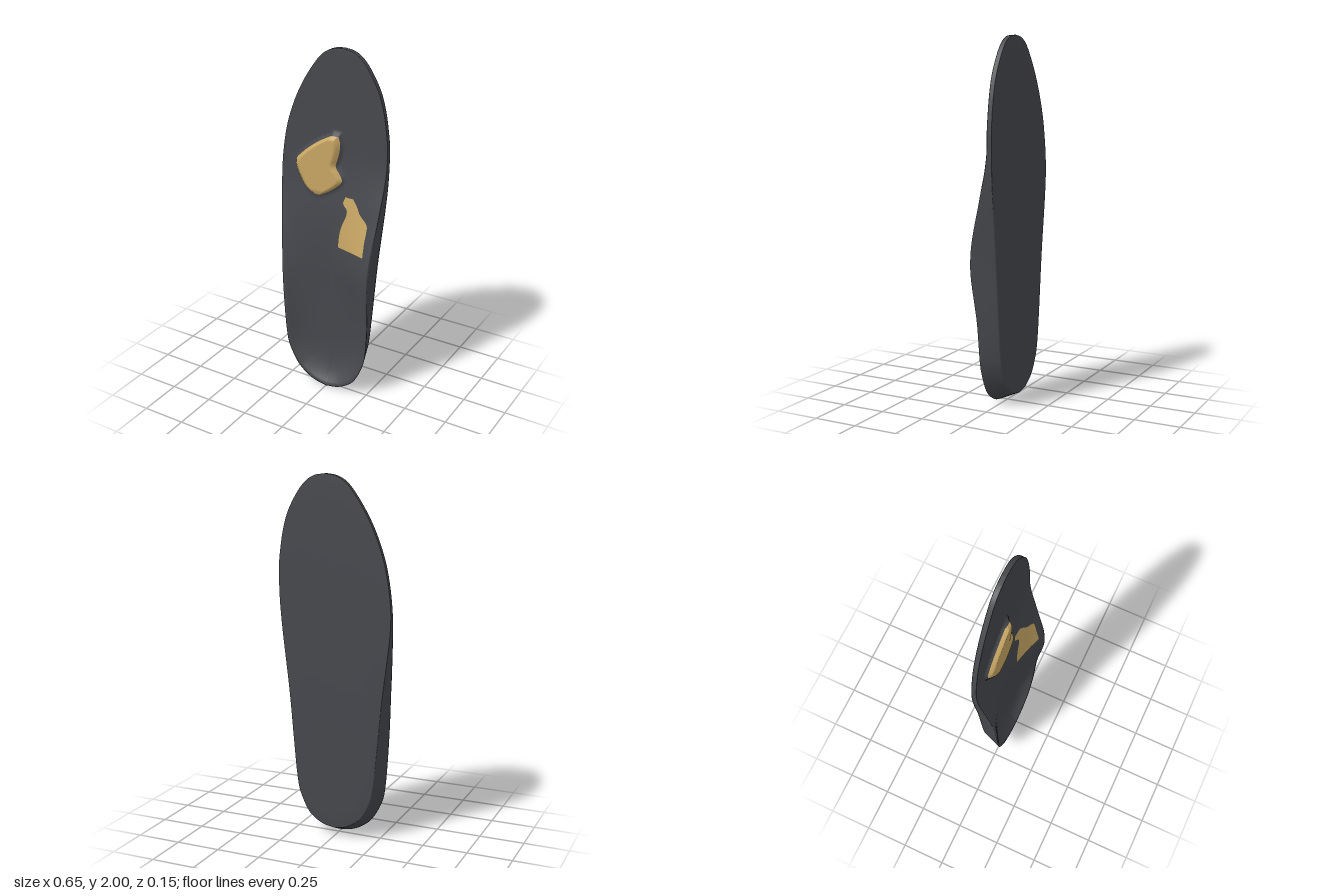
import * as THREE from 'three';
import { mergeVertices } from 'three/addons/utils/BufferGeometryUtils.js';

const BACK = -0.075, SPINE = [0.28, 1.7], ROWS = 140;

// smooth lookup through [y, value] pairs
function track(pairs, k = 1) {
  const f = new THREE.CubicInterpolant(
    new Float32Array(pairs.map(p => p[0])), new Float32Array(pairs.map(p => p[k])), 1);
  return y => f.evaluate(y)[0];
}

// outline rows: y, outer edge x, inner (arch side) edge x
const outlineRows = [
  [0, 0, 0], [0.015, -0.075, 0.075], [0.05, -0.14, 0.14], [0.1, -0.192, 0.19], [0.2, -0.245, 0.237],
  [0.3, -0.265, 0.258], [0.5, -0.28, 0.27], [0.8, -0.297, 0.285], [1.0, -0.313, 0.298],
  [1.2, -0.326, 0.312], [1.35, -0.32, 0.32], [1.5, -0.297, 0.322], [1.6, -0.27, 0.312],
  [1.7, -0.232, 0.295], [1.8, -0.182, 0.265], [1.9, -0.117, 0.21], [1.96, -0.065, 0.16],
  [1.99, -0.01, 0.11], [2, 0.05, 0.05]];
const edges = new THREE.CatmullRomCurve3(
  outlineRows.map(([y, l, r]) => new THREE.Vector3(l, y, r)), false, 'catmullrom', 0.5).getPoints(ROWS);
const edgeLeft = track(outlineRows, 2), edgeRight = track(outlineRows, 1);

// heights along the length: floor, both rims, and how sharply the floor curves up to them
const floor = track([[0, -0.03], [0.3, -0.03], [0.6, -0.02], [0.8, -0.01], [1.0, -0.01], [1.12, -0.018],
  [1.25, -0.034], [1.4, -0.046], [1.5, -0.047], [1.7, -0.047], [2, -0.047]]);
const archRim = track([[0, 0.034], [0.3, 0.036], [0.5, 0.045], [0.6, 0.057], [0.7, 0.07], [0.78, 0.075],
  [0.9, 0.065], [1.0, 0.044], [1.1, 0.018], [1.2, -0.006], [1.3, -0.03], [1.4, -0.045], [1.5, -0.047], [2, -0.047]]);
const outerRim = track([[0, 0.034], [0.3, 0.034], [0.5, 0.033], [0.7, 0.026], [0.9, 0.004], [1.05, -0.02],
  [1.2, -0.041], [1.3, -0.046], [1.5, -0.047], [2, -0.047]]);
const archPower = track([[0, 3.5], [0.3, 3.2], [0.55, 2], [0.8, 1.25], [1.1, 1.5], [2, 1.5]]);
const soleScale = track([[0, 0.82], [0.2, 0.83], [0.4, 0.87], [0.8, 0.93], [1.1, 0.98], [1.3, 1], [1.5, 1], [2, 1]]);

// coloured patches: y, right x, left x
const forefootRows = [[1.18, -0.1, -0.07], [1.2, -0.14, -0.03], [1.25, -0.185, 0.04], [1.285, -0.205, 0.066],
  [1.32, -0.22, 0.05], [1.36, -0.22, 0.025], [1.4, -0.185, 0.035], [1.44, -0.14, 0.045],
  [1.49, -0.07, 0.05], [1.53, 0.0, 0.04]];
const archRows = [[0.905, 0.06, 0.24], [1.0, 0.07, 0.242], [1.05, 0.085, 0.246], [1.085, 0.1, 0.242],
  [1.13, 0.105, 0.19], [1.16, 0.08, 0.172], [1.2, 0.09, 0.14]];
const padRight = track(forefootRows, 1), padLeft = track(forefootRows, 2);

// upper surface: s runs from 0 on the spine to 1 at the rim
function topHeight(x, y, s, inner, edgeY) {
  const base = floor(y), rim = inner ? archRim(edgeY) : outerRim(edgeY);
  const power = inner ? archPower(edgeY) : 3;
  let z = base + (rim - base) * Math.pow(Math.min(1, s / 0.94), power);
  // raised forefoot pad
  const inside = Math.min(x - padRight(y), padLeft(y) - x, y - 1.18, 1.535 - y);
  const raise = THREE.MathUtils.smoothstep(inside, -0.02, 0.03);
  return Math.max(z, THREE.MathUtils.lerp(z, -0.011, raise));
}

function gridGeometry(rows, closed) {
  const n = rows[0].length, index = [];
  for (let r = 0; r < rows.length - 1; r++) {
    for (let i = 0; i < (closed ? n : n - 1); i++) {
      const j = (i + 1) % n, a = r * n + i, b = a + n, c = (r + 1) * n + j, d = r * n + j;
      index.push(a, b, c, a, c, d);
    }
  }
  const geometry = new THREE.BufferGeometry();
  geometry.setAttribute('position', new THREE.Float32BufferAttribute(rows.flat(2), 3));
  geometry.setIndex(index);
  const welded = mergeVertices(geometry, 1e-5);
  welded.computeVertexNormals();
  return welded;
}

// body: rings grow from the spine to the rim, go down the wall and close under the sole
function bodyGeometry() {
  const loop = [
    ...edges.map(p => ({ x: p.z, y: p.y, inner: true })),
    ...edges.slice(1, -1).reverse().map(p => ({ x: p.x, y: p.y, inner: false }))];
  const spread = (e, s) => {
    const c = THREE.MathUtils.clamp(e.y, ...SPINE);
    return [e.x * s, c + (e.y - c) * s];
  };
  const rings = [];
  const steps = 36;
  for (let k = 0; k <= steps; k++) {
    const s = k / steps;
    rings.push(loop.map(e => {
      const [x, y] = spread(e, s);
      return [x, y, topHeight(x, y, s, e.inner, e.y)];
    }));
  }
  const rim = rings[steps];
  // side wall, sloping in towards the sole at the heel
  for (const t of [0.08, 0.5, 0.92]) {
    rings.push(loop.map((e, i) => {
      const s = THREE.MathUtils.lerp(1, soleScale(e.y), t);
      return [...spread(e, s), THREE.MathUtils.lerp(rim[i][2], BACK, t)];
    }));
  }
  // flat sole
  for (const t of [1, 0.6, 0.3, 0]) {
    rings.push(loop.map(e => [...spread(e, soleScale(e.y) * t), BACK]));
  }
  return gridGeometry(rings, true);
}

// thin patch that follows the upper surface
function patchGeometry(rows) {
  const right = track(rows, 1), left = track(rows, 2);
  const y0 = rows[0][0], y1 = rows[rows.length - 1][0];
  const grid = [];
  for (let r = 0; r <= 60; r++) {
    const y = THREE.MathUtils.lerp(y1, y0, r / 60), line = [];
    for (let c = 0; c <= 36; c++) {
      const x = THREE.MathUtils.lerp(right(y), left(y), c / 36);
      const s = x / (x > 0 ? edgeLeft(y) : edgeRight(y));
      line.push([x, y, topHeight(x, y, s, x > 0, y) + 0.003]);
    }
    grid.push(line);
  }
  return gridGeometry(grid, false);
}

export function createModel() {
  const group = new THREE.Group();
  group.name = 'insole';
  const dark = new THREE.MeshStandardMaterial({ color: 0x46484d });
  const gold = new THREE.MeshStandardMaterial({ color: 0xc8a664, side: THREE.DoubleSide });
  const add = (name, geometry, material) => {
    const mesh = new THREE.Mesh(geometry, material);
    mesh.name = name;
    group.add(mesh);
  };
  add('insoleBody', bodyGeometry(), dark);
  add('forefootPad', patchGeometry(forefootRows), gold);
  add('archPad', patchGeometry(archRows), gold);
  return group;
}
